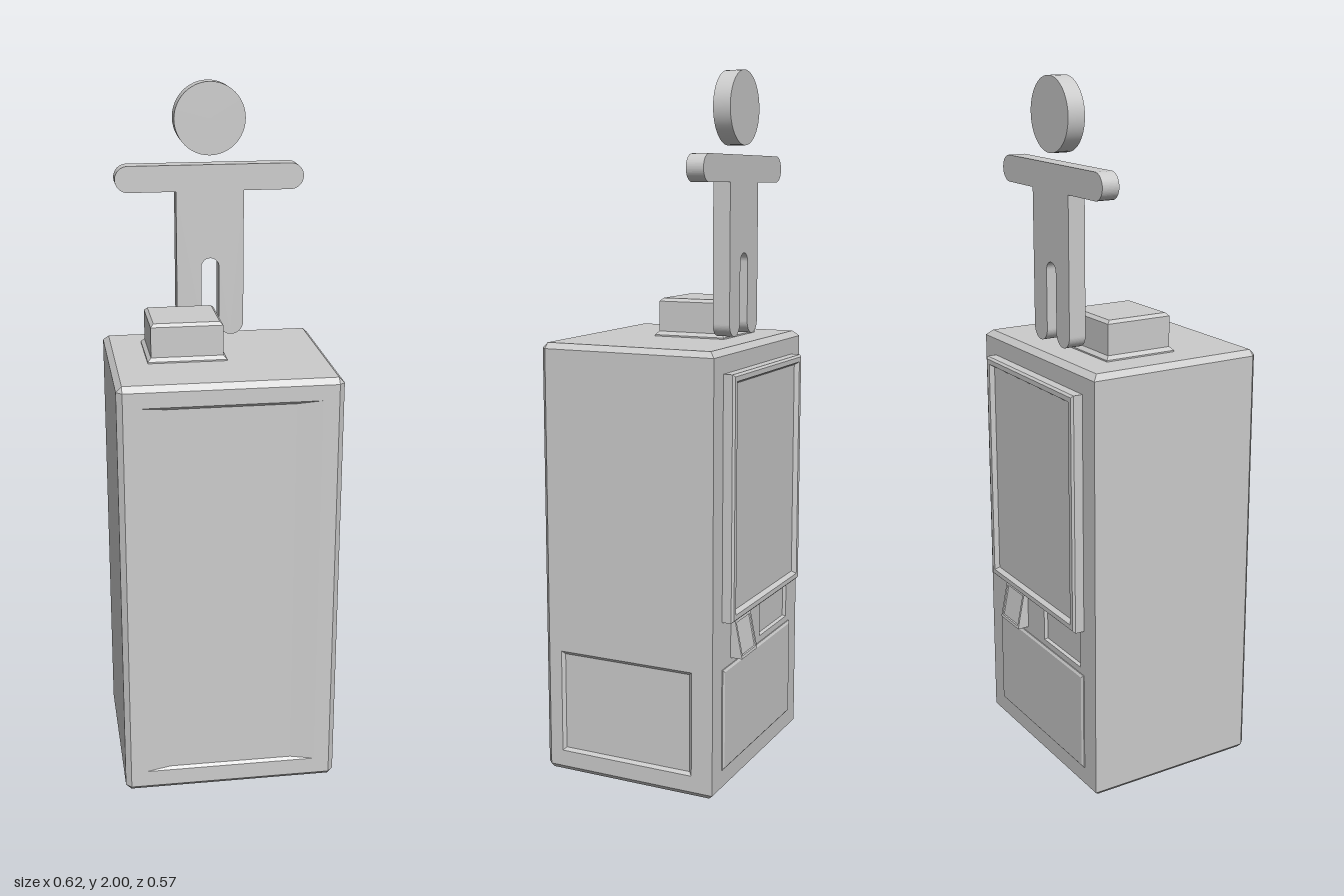
import * as THREE from 'three';

const mat = new THREE.MeshStandardMaterial({ color: 0xcccccc });

function mesh(name, geometry, parent) {
  const m = new THREE.Mesh(geometry, mat);
  m.name = name;
  parent.add(m);
  return m;
}

// rectangle ring, counter-clockwise seen from +z, shrunk by an inset; z may depend on y
function rect([x0, x1, y0, y1], z = 0, i = 0) {
  const h = typeof z === 'function' ? z : () => z;
  return [[x0 + i, y0 + i], [x1 - i, y0 + i], [x1 - i, y1 - i], [x0 + i, y1 - i]].map(([x, y]) => [x, y, h(y)]);
}

// flat-faced skin through matching rings, closed at the last one
function loft(rings, { bottom = false, skip = () => false } = {}) {
  const pos = [];
  const fan = (p) => {
    for (let k = 1; k < p.length - 1; k++) pos.push(...p[0], ...p[k], ...p[k + 1]);
  };
  for (let r = 0; r < rings.length - 1; r++) {
    const a = rings[r], b = rings[r + 1], n = a.length;
    for (let j = 0; j < n; j++) {
      const k = (j + 1) % n;
      if (!skip(r, j)) fan([a[j], a[k], b[k], b[j]]);
    }
  }
  fan(rings[rings.length - 1]);
  if (bottom) fan([...rings[0]].reverse());
  const g = new THREE.BufferGeometry();
  g.setAttribute('position', new THREE.Float32BufferAttribute(pos, 3));
  g.computeVertexNormals();
  return g;
}

// flat wall with rectangular openings
function wall(outer, holes) {
  const toPoints = (r) => rect(r).map(([x, y]) => new THREE.Vector2(x, y));
  const s = new THREE.Shape(toPoints(outer));
  holes.forEach((h) => s.holes.push(new THREE.Path(toPoints(h).reverse())));
  return new THREE.ShapeGeometry(s);
}

function side(name, parent, angle, distance) {
  const g = new THREE.Group();
  g.name = name;
  g.rotation.y = angle;
  g.position.set(Math.sin(angle) * distance, 0, Math.cos(angle) * distance);
  parent.add(g);
  return g;
}

export function createModel() {
  const model = new THREE.Group();
  model.name = 'kiosk';
  const W = 0.312, F = 0.283, B = 0.25, H = 1.255, C = 0.016;

  // cabinet shell: chamfered top, bottom and front corners; three walls are added below
  const full = [[-W + C, -F], [W - C, -F], [W, -F + C], [W, B], [-W, B], [-W, -F + C]];
  const small = full.map(([x, y]) => [Math.sign(x) * (W - C), y > 0 ? B - C : -F + C]);
  const at = (ring, z) => ring.map(([x, y]) => [x, y, z]);
  const shell = mesh('cabinet', loft(
    [at(small, 0), at(full, C), at(full, H - C), at(small, H)],
    { bottom: true, skip: (r, j) => r === 1 && [0, 2, 3].includes(j) }), model);
  shell.rotation.x = -Math.PI / 2;

  // front wall with a shallow recess whose sides slope gently
  const front = side('front', model, 0, F);
  const poster = [-0.25, 0.25, 0.065, 1.195];
  mesh('frontWall', wall([-W + C, W - C, C, H - C], [poster]), front);
  mesh('frontRecess', loft([rect(poster), rect([-0.18, 0.18, 0.073, 1.187], -0.008)]), front);

  // left wall with a service hatch
  const left = side('leftSide', model, Math.PI / 2, W);
  const hatch = [-0.228, 0.186, 0.063, 0.365];
  mesh('leftWall', wall([-F + C, B, C, H - C], [hatch]), left);
  mesh('serviceHatch', loft([rect(hatch), rect(hatch, -0.008, 0.009)]), left);

  // working side: screen, keypad, slot and lower door
  const back = side('back', model, Math.PI, B);
  const slot = [0.02, 0.23, 0.38, 0.49];
  mesh('backWall', wall([-W, W, C, H - C], [slot]), back);
  mesh('slot', loft([rect(slot), rect(slot, -0.01, 0.003)]), back);

  const screen = [-0.25, 0.25, 0.5, 1.19];
  mesh('screen', loft([
    rect(screen), rect(screen, 0.027), rect(screen, 0.033, 0.006),
    rect(screen, 0.033, 0.02), rect(screen, 0.02, 0.028),
  ]), back);

  const pad = [-0.19, -0.08, 0.38, 0.49];
  const slope = (d) => (y) => 0.035 - (y - 0.38) * 0.2 - d;
  mesh('keypad', loft([
    rect(pad), rect(pad, slope(0)), rect(pad, slope(0), 0.008), rect(pad, slope(0.003), 0.01),
  ]), back);

  const door = [-0.25, 0.25, 0.068, 0.362];
  mesh('lowerDoor', loft([rect(door), rect(door, 0.003), rect(door, 0.007, 0.007)]), back);

  // small box on the roof, with a flared foot and chamfered lid
  const foot = [-0.207, 0.018, -0.072, 0.147];
  const box = mesh('roofBox', loft([
    rect(foot, H), rect(foot, H + 0.004), rect(foot, H + 0.014, 0.01),
    rect(foot, 1.356, 0.01), rect(foot, 1.365, 0.019),
  ]), model);
  box.rotation.x = -Math.PI / 2;

  // flat standing figure: body with arms and legs, and a separate round head
  const figure = new THREE.Group();
  figure.name = 'figure';
  model.add(figure);
  const P = Math.PI, s = new THREE.Shape();
  s.moveTo(-0.098, 1.306);
  s.absarc(-0.062, 1.306, 0.036, P, 2 * P);
  s.lineTo(-0.026, 1.474);
  s.absarc(0, 1.474, 0.026, P, 0, true);
  s.lineTo(0.026, 1.306);
  s.absarc(0.062, 1.306, 0.036, P, 2 * P);
  s.lineTo(0.098, 1.695);
  s.lineTo(0.235, 1.695);
  s.absarc(0.235, 1.7325, 0.0375, -P / 2, P / 2);
  s.lineTo(-0.235, 1.77);
  s.absarc(-0.235, 1.7325, 0.0375, P / 2, 1.5 * P);
  s.lineTo(-0.098, 1.695);
  s.closePath();
  const body = mesh('figureBody',
    new THREE.ExtrudeGeometry(s, { depth: 0.051, bevelEnabled: false, curveSegments: 16 }), figure);
  body.position.z = -0.2;
  const head = mesh('figureHead', new THREE.CylinderGeometry(0.102, 0.102, 0.051, 48), figure);
  head.rotation.x = P / 2;
  head.position.set(0, 1.898, -0.1745);

  return model;
}
